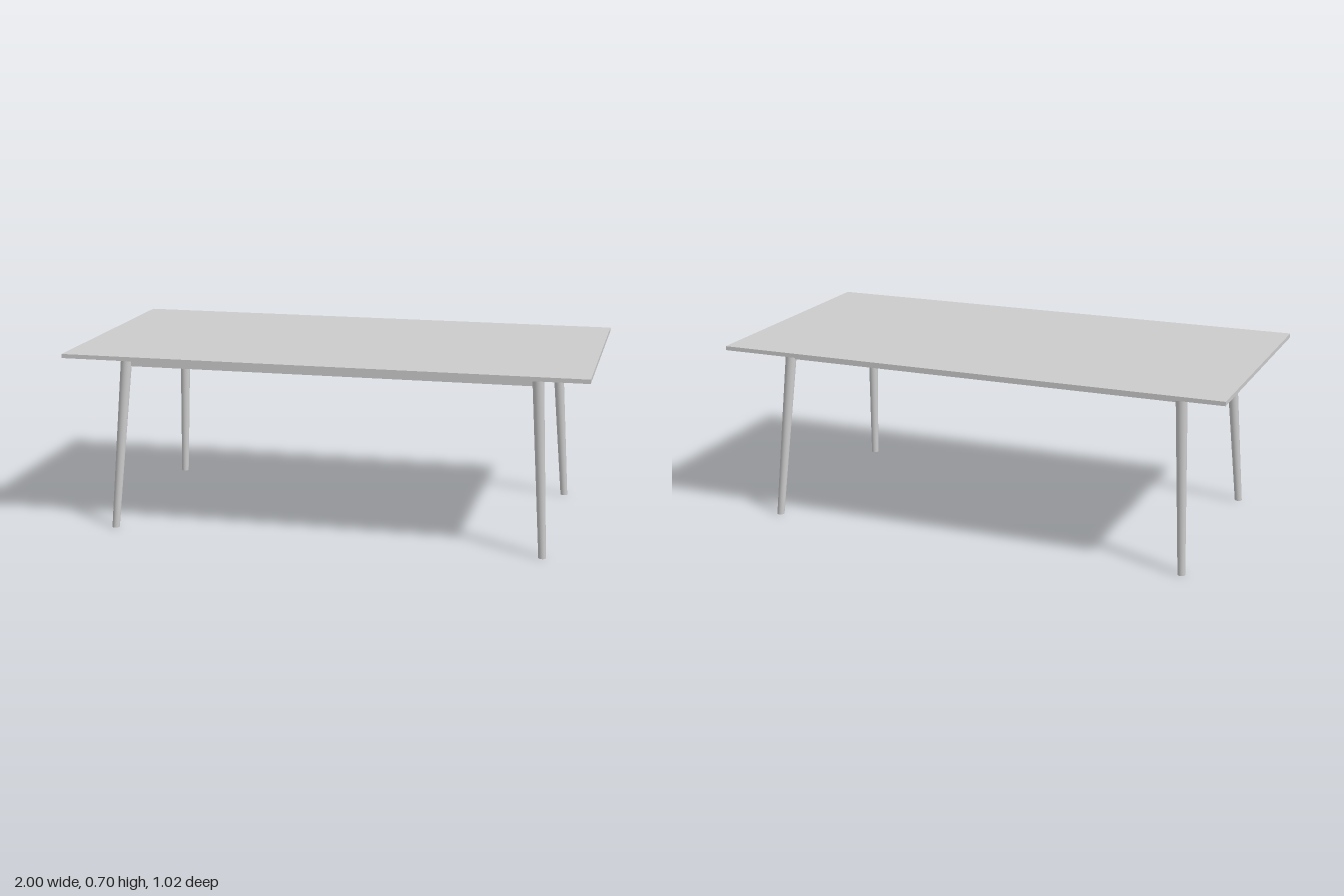
import * as THREE from 'three';

const material = new THREE.MeshStandardMaterial({ color: 0xcccccc });

const TOP_Y = 0.705, TOP_UNDER = 0.689, RAIL_BOTTOM = 0.637;
const LEG_TOP = { x: 0.797, z: 0.351, r: 0.022 };
const LEG_FOOT = { x: 0.84, z: 0.423, r: 0.0145 };

function addBox(group, name, w, h, d, x, y, z) {
  const mesh = new THREE.Mesh(new THREE.BoxGeometry(w, h, d), material);
  mesh.name = name;
  mesh.position.set(x, y, z);
  group.add(mesh);
}

// Tapered round leg, slanted outward while its ends stay level
function legGeometry(sx, sz) {
  const g = new THREE.CylinderGeometry(LEG_TOP.r, LEG_FOOT.r, TOP_UNDER, 32);
  g.translate(0, TOP_UNDER / 2, 0);
  const p = g.attributes.position;
  for (let i = 0; i < p.count; i++) {
    const t = p.getY(i) / TOP_UNDER;
    p.setX(i, p.getX(i) + sx * THREE.MathUtils.lerp(LEG_FOOT.x, LEG_TOP.x, t));
    p.setZ(i, p.getZ(i) + sz * THREE.MathUtils.lerp(LEG_FOOT.z, LEG_TOP.z, t));
  }
  return g;
}

export function createModel() {
  const table = new THREE.Group();
  table.name = 'table';

  // Thin rectangular top
  addBox(table, 'tabletop', 2, TOP_Y - TOP_UNDER, 1.02, 0, (TOP_Y + TOP_UNDER) / 2, 0);

  // Four splayed legs
  for (const sx of [-1, 1]) for (const sz of [-1, 1]) {
    const leg = new THREE.Mesh(legGeometry(sx, sz), material);
    leg.name = (sz > 0 ? 'front' : 'back') + (sx > 0 ? 'Left' : 'Right') + 'Leg';
    table.add(leg);
  }

  // Apron rails between the leg heads
  const h = TOP_UNDER - RAIL_BOTTOM, y = (TOP_UNDER + RAIL_BOTTOM) / 2, thick = 0.02;
  for (const s of [-1, 1]) {
    addBox(table, s > 0 ? 'frontRail' : 'backRail', 2 * LEG_TOP.x - 0.02, h, thick, 0, y, s * LEG_TOP.z);
    addBox(table, s > 0 ? 'leftRail' : 'rightRail', thick, h, 2 * LEG_TOP.z - 0.02, s * LEG_TOP.x, y, 0);
  }
  return table;
}
